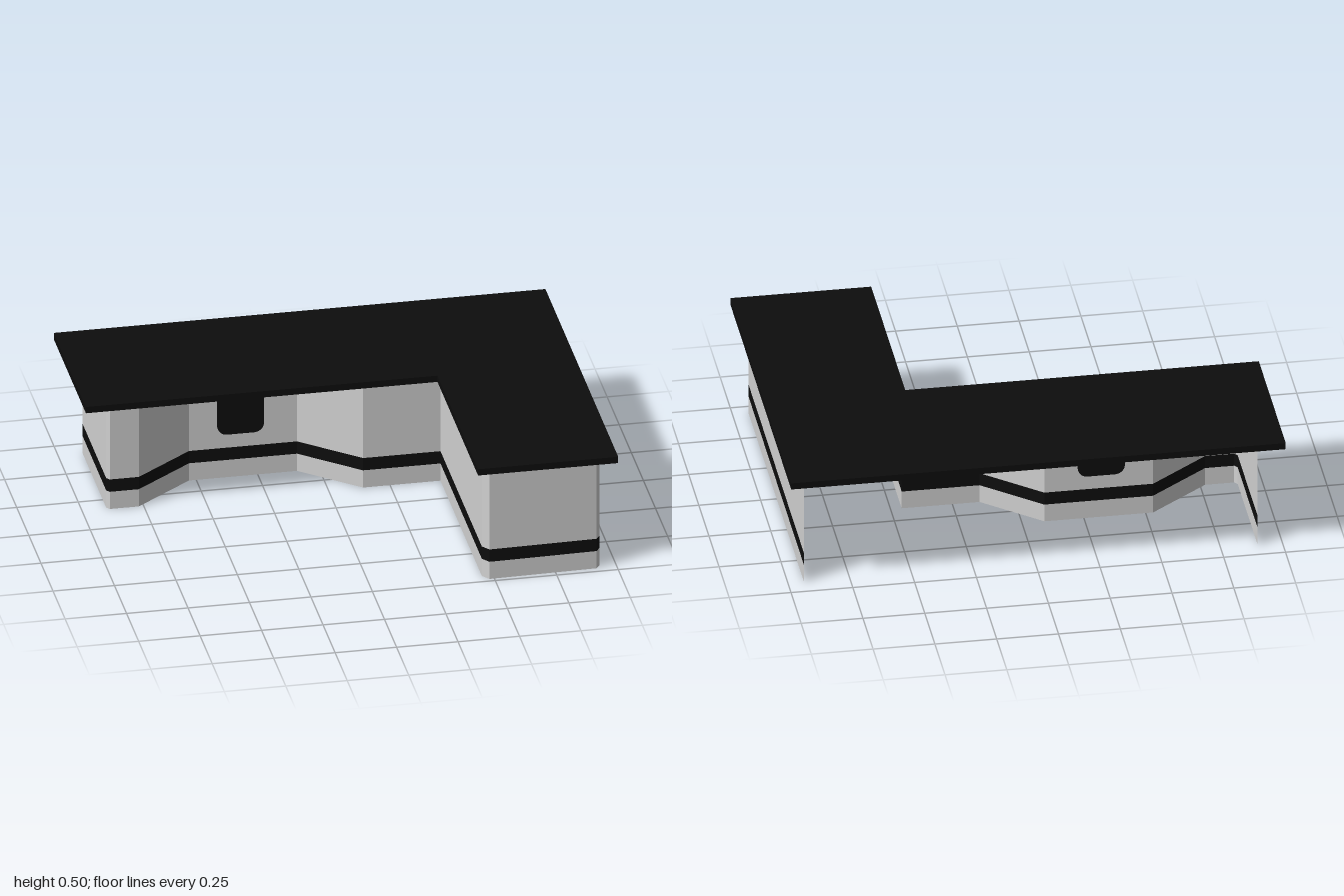
import * as THREE from 'three';

const wallMat = new THREE.MeshStandardMaterial({ color: 0xd2d2d2, side: THREE.DoubleSide });
wallMat.name = 'light grey panel';
const blackMat = new THREE.MeshStandardMaterial({ color: 0x0d0d0d, side: THREE.DoubleSide });
blackMat.name = 'black';

// Plan of the folded wall as [x, z], from back left round to back right
const plan = [
  [-0.9, -0.67], [-0.9, -0.18], [-0.888, -0.165], [-0.77, -0.165], [-0.53, -0.35], [-0.09, -0.35],
  [0.14, -0.155], [0.455, -0.155], [0.455, 0.7], [0.48, 0.732], [0.917, 0.722], [0.935, 0.696], [0.935, -0.67],
];

// Horizontal layers of every panel: bottom, top, material, name
const layers = [
  [0, 0.077, wallMat, 'kickPanel'],
  [0.077, 0.132, blackMat, 'stripe'],
  [0.132, 0.472, wallMat, 'wallPanel'],
];

function mesh(name, geometry, material) {
  const m = new THREE.Mesh(geometry, material);
  m.name = name;
  return m;
}

// One flat panel between two plan points; local +z faces outwards
function panel([x0, z0], [x1, z1]) {
  const g = new THREE.Group();
  g.name = 'panel';
  g.position.set((x0 + x1) / 2, 0, (z0 + z1) / 2);
  g.rotation.y = -Math.atan2(z1 - z0, x1 - x0);
  const length = Math.hypot(x1 - x0, z1 - z0);
  for (const [y0, y1, mat, name] of layers) {
    const m = mesh(name, new THREE.PlaneGeometry(length, y1 - y0), mat);
    m.position.y = (y0 + y1) / 2;
    g.add(m);
  }
  return g;
}

function roundedRect(w, h, r) {
  const s = new THREE.Shape();
  const x = w / 2 - r, y = h / 2 - r;
  s.absarc(x, y, r, 0, Math.PI / 2);
  s.absarc(-x, y, r, Math.PI / 2, Math.PI);
  s.absarc(-x, -y, r, Math.PI, Math.PI * 1.5);
  s.absarc(x, -y, r, Math.PI * 1.5, Math.PI * 2);
  s.closePath();
  return s;
}

export function createModel() {
  const model = new THREE.Group();
  model.name = 'cornerCounter';

  // Folded wall, open at the back
  const wall = new THREE.Group();
  wall.name = 'wall';
  for (let i = 0; i < plan.length - 1; i++) wall.add(panel(plan[i], plan[i + 1]));
  model.add(wall);

  // Door in the angled panel, with a handle on its inner side
  const door = wall.children[5];
  door.name = 'door';
  const handle = mesh('doorHandle', new THREE.BoxGeometry(0.02, 0.124, 0.006), blackMat);
  handle.position.set(-0.057, 0.285, -0.004);
  door.add(handle);

  // Rounded window, visible from both sides
  const pane = new THREE.ExtrudeGeometry(roundedRect(0.19, 0.222, 0.04),
    { depth: 0.008, bevelEnabled: false, curveSegments: 6 });
  const window = mesh('window', pane, blackMat);
  window.position.set(-0.32, 0.303, -0.354);
  model.add(window);

  // L-shaped counter top
  const outline = [[-1, -0.755], [1, -0.755], [1, 0.75], [0.43, 0.75], [0.43, -0.09], [-1, -0.09]];
  const shape = new THREE.Shape(outline.map(([x, z]) => new THREE.Vector2(x, -z)));
  const slab = new THREE.ExtrudeGeometry(shape, { depth: 0.028, bevelEnabled: false });
  slab.rotateX(-Math.PI / 2);
  const top = mesh('counterTop', slab, blackMat);
  top.position.y = 0.477;
  model.add(top);

  return model;
}
